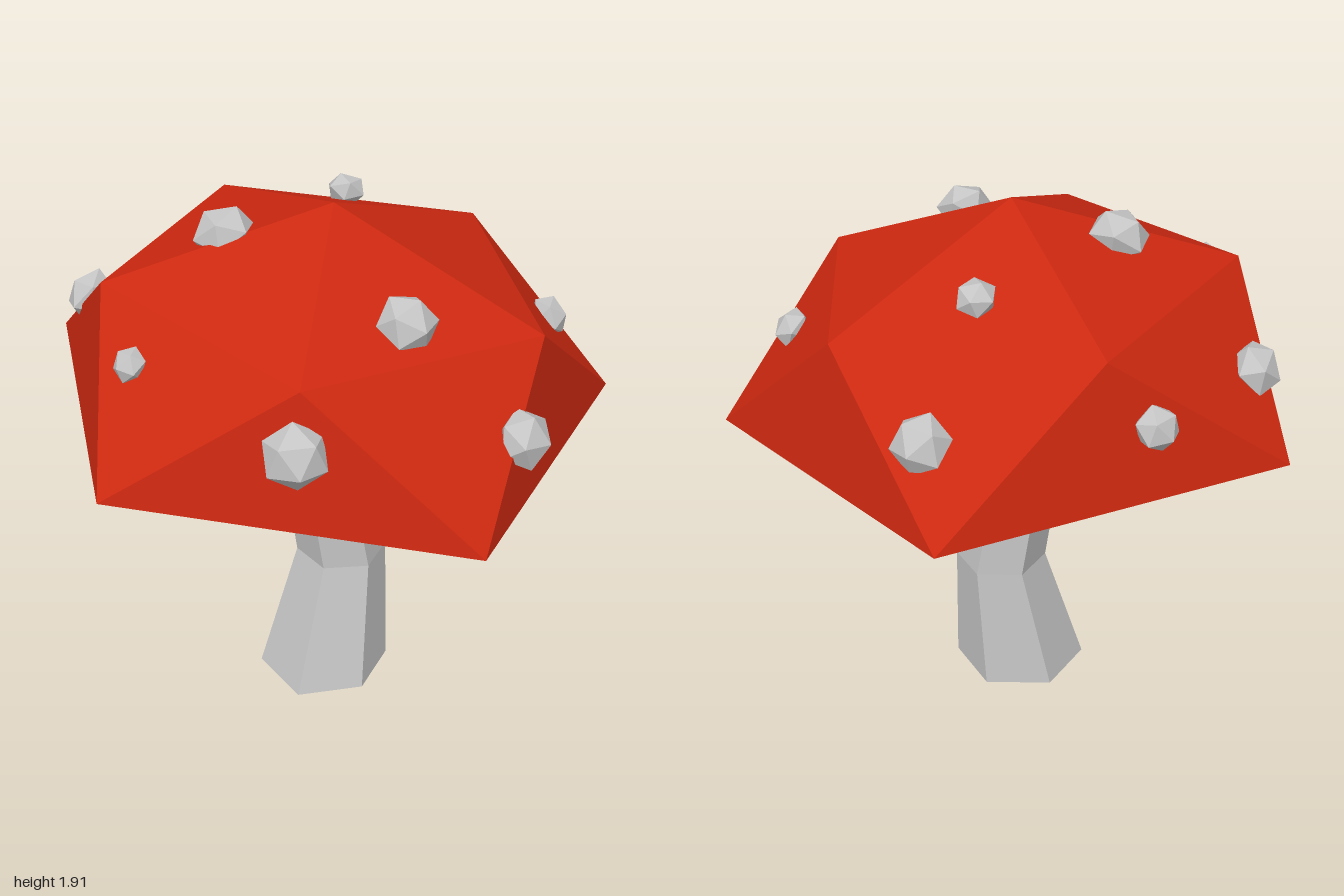
import * as THREE from 'three';

const mat = (name, color) => {
  const m = new THREE.MeshStandardMaterial({ color });
  m.name = name;
  return m;
};

// Faceted geometry from a list of triangles, each made of three [x, y, z] corners
function faceted(tris) {
  const g = new THREE.BufferGeometry();
  g.setAttribute('position', new THREE.Float32BufferAttribute(tris.flat(2), 3));
  g.computeVertexNormals();
  return g;
}

function capGeometry() {
  const apex = [0.12, 1.91, 0.02];
  const under = [0.12, 1.73, 0.01];
  const rim = [[-0.97, 1.22, -0.01], [-0.23, 1.17, -1], [0.94, 1.1, -0.59], [0.91, 1.1, 0.65], [-0.27, 1.2, 0.99]];
  const mid = [[-0.52, 1.68, -0.45], [0.36, 1.62, -0.71], [0.87, 1.58, 0.03], [0.32, 1.61, 0.74], [-0.53, 1.68, 0.45]];
  const tris = [];
  for (let i = 0; i < 5; i++) {
    const next = (i + 1) % 5, prev = (i + 4) % 5;
    tris.push([apex, mid[i], mid[prev]]);
    tris.push([rim[i], mid[prev], mid[i]]);
    tris.push([rim[next], rim[i], mid[i]]);
    tris.push([rim[i], rim[next], under]); // hollow underside
  }
  return faceted(tris);
}

function stemGeometry() {
  // Six-sided rings: centre x, y, centre z, radius
  const rings = [[0.09, 0.02, 0.01, 0.24], [0.13, 0.5, -0.055, 0.165], [0.07, 0.93, -0.015, 0.155], [0.075, 1.17, -0.005, 0.147], [0.09, 1.7, 0, 0.115]]
    .map(([x, y, z, r], level) => Array.from({ length: 6 }, (_, k) => {
      const a = k * Math.PI / 3;
      const dip = level === 0 && k === 0 ? 0.02 : 0;
      return [x + r * Math.sin(a), y - dip, z + r * Math.cos(a)];
    }));
  const base = [0.09, 0.1, 0.01];
  const tris = [];
  for (let k = 0; k < 6; k++) {
    const n = (k + 1) % 6;
    for (let j = 0; j < rings.length - 1; j++) {
      const lo = rings[j], hi = rings[j + 1];
      tris.push([lo[k], lo[n], hi[n]], [lo[k], hi[n], hi[k]]);
    }
    tris.push([base, rings[0][n], rings[0][k]]); // dished foot
  }
  return faceted(tris);
}

export function createModel() {
  const group = new THREE.Group();
  group.name = 'mushroom';
  const red = mat('capRed', 0xcc2810);
  const grey = mat('paleGrey', 0xc4c4c4);

  const add = (name, geometry, material) => {
    const mesh = new THREE.Mesh(geometry, material);
    mesh.name = name;
    group.add(mesh);
    return mesh;
  };
  add('cap', capGeometry(), red);
  add('stem', stemGeometry(), grey);

  // Warts: x, y, z, radius; slightly flattened against the cap
  const warts = [
    [-0.06, 1.43, -0.81, 0.105], [-0.22, 1.8, 0.16, 0.11], [-0.02, 1.76, -0.42, 0.073],
    [0.76, 1.43, -0.4, 0.077], [0.9, 1.34, 0.29, 0.105], [0.5, 1.68, 0.31, 0.105],
    [0.33, 1.42, 0.8, 0.112], [-0.31, 1.53, 0.67, 0.063], [-0.76, 1.45, 0.14, 0.1],
    [-0.66, 1.45, -0.37, 0.08],
  ];
  const wartGeometry = new THREE.IcosahedronGeometry(1, 0);
  wartGeometry.rotateX(0.55);
  const up = new THREE.Vector3(0, 1, 0);
  warts.forEach(([x, y, z, r], i) => {
    const wart = add('wart' + (i + 1), wartGeometry, grey);
    wart.position.set(x, y, z);
    wart.scale.set(r, r * 0.8, r);
    wart.quaternion.setFromUnitVectors(up, new THREE.Vector3(x - 0.05, y - 1, z).normalize());
    wart.rotateY(i * 1.3);
  });
  return group;
}
